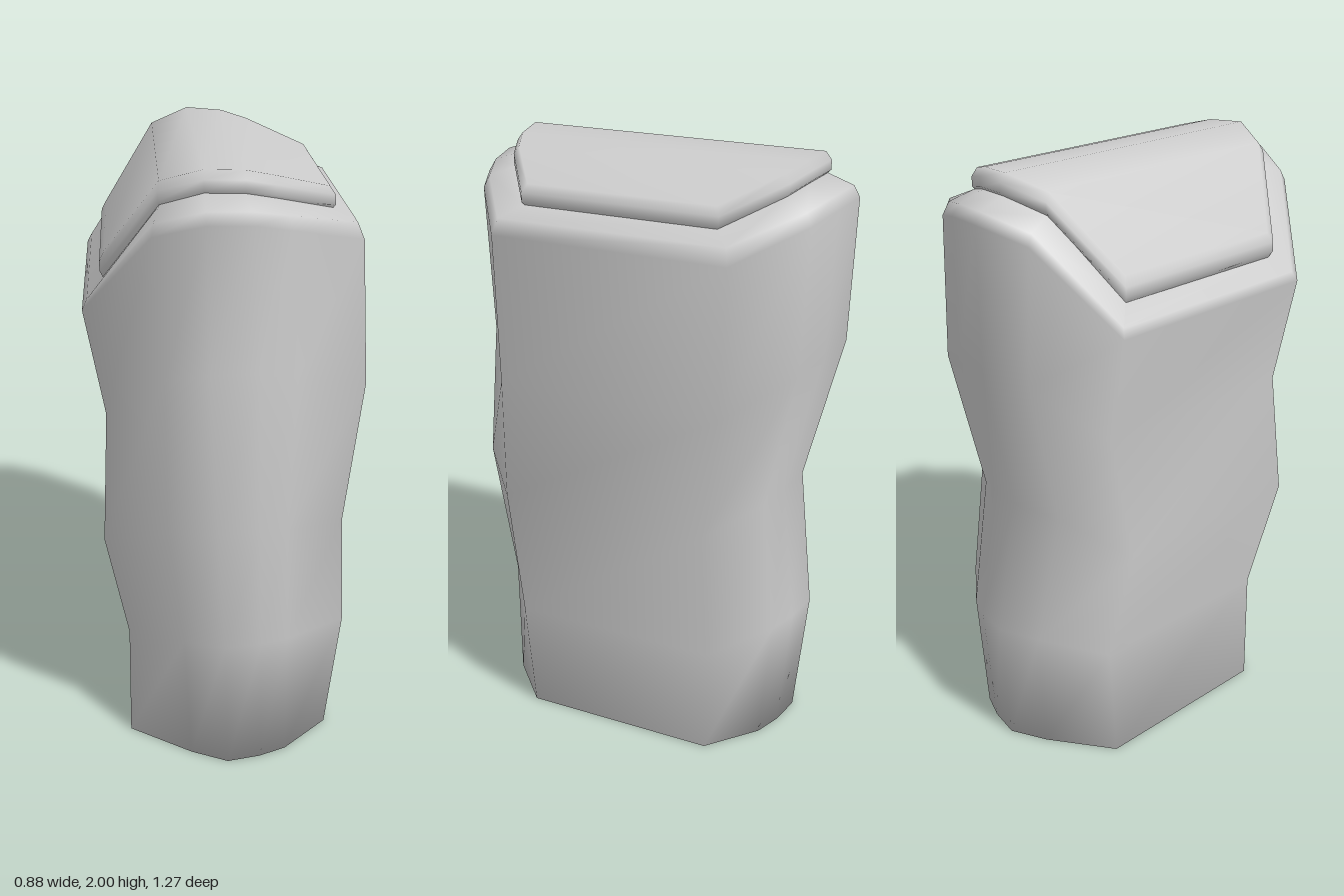
import * as THREE from 'three';

// Fractions at the six stations across the width, left edge to right edge
const DEPTH = [0.62, 0.89, 1, 0.96, 0.89, 0.62];
const DROP = [1, 0.15, 0, 0.08, 0.32, 1];

// A ring: x of the six stations, front and back z, heights at left, crest and right
function ring(xs, front, back, yLeft, yCrest, yRight) {
  const point = (i, z) => {
    const edge = i < 2 ? yLeft : yRight;
    return [xs[i], yCrest - DROP[i] * (yCrest - edge), z * DEPTH[i]];
  };
  const order = [0, 1, 2, 3, 4, 5];
  return [...order.map(i => point(i, front)), ...order.reverse().map(i => point(i, back))];
}

// Skin stacked rings and close both ends with strips running front to back
function loft(name, rings) {
  const n = 12, index = [];
  const quad = (a, b, c, d) => index.push(a, b, c, a, c, d);
  for (let r = 0; r < rings.length - 1; r++) {
    for (let i = 0; i < n; i++) {
      const j = (i + 1) % n, lo = r * n, hi = lo + n;
      quad(lo + i, lo + j, hi + j, hi + i);
    }
  }
  const top = (rings.length - 1) * n;
  for (let i = 0; i < 5; i++) {
    quad(top + i, top + i + 1, top + 10 - i, top + 11 - i);
    quad(11 - i, 10 - i, i + 1, i);
  }
  const geometry = new THREE.BufferGeometry();
  geometry.setAttribute('position', new THREE.Float32BufferAttribute(rings.flat(2), 3));
  geometry.setIndex(index);
  geometry.computeVertexNormals();
  const mesh = new THREE.Mesh(geometry, new THREE.MeshStandardMaterial({ color: 0xcccccc }));
  mesh.name = name;
  return mesh;
}

export function createModel() {
  const group = new THREE.Group();
  group.name = 'stonePost';

  // Wavy post with a rounded shoulder
  group.add(loft('post', [
    ring([-0.335, -0.13, -0.01, 0.1, 0.19, 0.345], 0.535, -0.53, 0, 0, 0),
    ring([-0.33, -0.15, -0.02, 0.1, 0.19, 0.395], 0.535, -0.57, 0.4, 0.45, 0.42),
    ring([-0.4, -0.2, -0.05, 0.08, 0.17, 0.37], 0.635, -0.51, 0.79, 0.92, 0.84),
    ring([-0.38, -0.2, -0.07, 0.08, 0.2, 0.435], 0.565, -0.625, 1.21, 1.41, 1.29),
    ring([-0.44, -0.23, -0.08, 0.06, 0.17, 0.405], 0.605, -0.635, 1.56, 1.87, 1.76),
    ring([-0.425, -0.225, -0.08, 0.05, 0.16, 0.385], 0.585, -0.615, 1.59, 1.905, 1.81),
    ring([-0.375, -0.205, -0.08, 0.04, 0.13, 0.32], 0.495, -0.53, 1.64, 1.935, 1.84),
  ]));

  // Bevelled slab on top, undercut where it meets the post
  group.add(loft('capSlab', [
    ring([-0.37, -0.2, -0.08, 0.04, 0.125, 0.31], 0.48, -0.52, 1.63, 1.925, 1.83),
    ring([-0.385, -0.21, -0.08, 0.04, 0.13, 0.325], 0.5, -0.54, 1.66, 1.945, 1.85),
    ring([-0.385, -0.21, -0.08, 0.04, 0.13, 0.325], 0.5, -0.54, 1.69, 1.975, 1.88),
    ring([-0.37, -0.205, -0.08, 0.04, 0.125, 0.308], 0.48, -0.52, 1.72, 2, 1.905),
  ]));
  return group;
}
